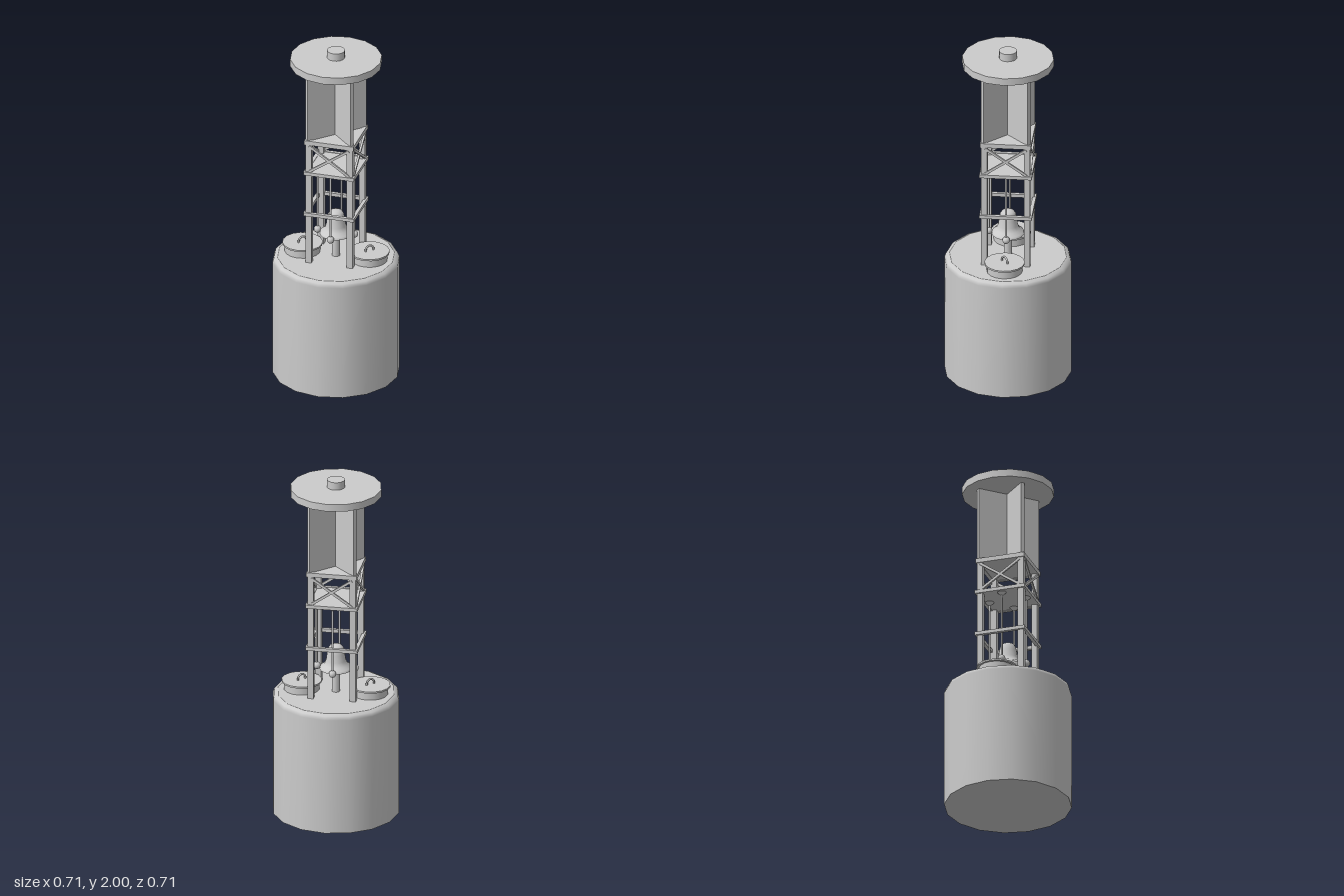
import * as THREE from 'three';

const grey = new THREE.MeshStandardMaterial({ color: 0xcccccc });
const flat = new THREE.MeshStandardMaterial({ color: 0xcccccc, flatShading: true });
const open = new THREE.MeshStandardMaterial({ color: 0xcccccc, side: THREE.DoubleSide });

export function createModel() {
  const model = new THREE.Group();
  model.name = 'bellBuoy';

  function add(name, geometry, x, y, z, parent = model, material = grey) {
    const mesh = new THREE.Mesh(geometry, material);
    mesh.name = name;
    mesh.position.set(x, y, z);
    parent.add(mesh);
    return mesh;
  }
  const box = (w, h, d) => new THREE.BoxGeometry(w, h, d);
  // Cylinder standing on the given height
  const drum = (name, r, y0, y1, sides, parent = model, x = 0, z = 0) =>
    add(name, new THREE.CylinderGeometry(r, r, y1 - y0, sides), x, (y0 + y1) / 2, z, parent);
  const lathe = (points, sides) =>
    new THREE.LatheGeometry(points.map(([r, y]) => new THREE.Vector2(r, y)), sides);

  // Float body with a rounded shoulder
  add('floatWall', lathe([[0.357, 0], [0.357, 0.685], [0.349, 0.706], [0.328, 0.715]], 16), 0, 0, 0);
  add('floatDeck', new THREE.CircleGeometry(0.328, 16), 0, 0.715, 0).rotation.x = -Math.PI / 2;
  add('floatBottom', new THREE.CircleGeometry(0.357, 16), 0, 0, 0).rotation.x = Math.PI / 2;

  // Two deck hatches with arched handles
  for (const side of [-1, 1]) {
    const hatch = new THREE.Group();
    hatch.name = side > 0 ? 'leftHatch' : 'rightHatch';
    hatch.position.x = side * 0.195;
    drum('hatchCoaming', 0.1, 0.71, 0.762, 16, hatch);
    drum('hatchLid', 0.113, 0.76, 0.77, 16, hatch);
    const arch = new THREE.CatmullRomCurve3(
      [[-0.025, 0.765], [-0.022, 0.788], [0, 0.802], [0.022, 0.788], [0.025, 0.765]]
        .map(([x, y]) => new THREE.Vector3(x, y, 0)));
    add('hatchHandle', new THREE.TubeGeometry(arch, 14, 0.006, 6), 0, 0, 0, hatch)
      .rotation.y = Math.PI / 4;
    model.add(hatch);
  }

  // Tower: one leg, its bars, cross brace and clapper per side
  for (let i = 0; i < 4; i++) {
    const side = new THREE.Group();
    side.name = 'towerSide' + (i + 1);
    side.rotation.y = i * Math.PI / 2;
    add('leg', box(0.034, 0.76, 0.034), 0.12, 1.09, 0.12, side);
    for (const y of [1.02, 1.276]) add('crossbar', box(0.294, 0.02, 0.02), 0, y, 0.137, side);
    add('topBar', box(0.286, 0.026, 0.02), 0, 1.468, 0.133, side);
    for (const s of [-1, 1]) {
      add('brace', box(0.28, 0.014, 0.012), 0, 1.368, 0.136, side)
        .rotation.z = s * Math.atan2(0.155, 0.225);
    }
    // Clapper hanging from the lower platform
    add('clapperHinge', new THREE.ConeGeometry(0.026, 0.024, 10), 0, 1.255, 0.108, side)
      .rotation.x = Math.PI;
    drum('clapperRod', 0.006, 0.865, 1.265, 8, side, 0, 0.108);
    add('clapperBall', new THREE.SphereGeometry(0.021, 12, 8), 0, 0.862, 0.108, side);
    model.add(side);
  }
  add('lowerPlatform', box(0.27, 0.014, 0.27), 0, 1.276, 0);
  add('upperPlatform', box(0.27, 0.02, 0.27), 0, 1.468, 0);

  // Bell on its post
  drum('bellPost', 0.023, 0.71, 0.96, 12);
  add('bell', lathe([
    [0.092, 0.852], [0.088, 0.866], [0.066, 0.88], [0.056, 0.905], [0.05, 0.945],
    [0.044, 0.975], [0.034, 0.99], [0.018, 0.997], [0, 0.998],
  ], 20), 0, 0, 0, model, open);

  // Crossed diagonal reflector plates
  for (const s of [-1, 1]) {
    add('reflectorPlate', box(0.374, 0.44, 0.022), 0, 1.695, 0, model, flat)
      .rotation.y = s * Math.PI / 4;
  }

  // Cap disc and lamp stub
  drum('capDisc', 0.257, 1.912, 1.955, 16);
  drum('lampStub', 0.05, 1.95, 2, 16);
  return model;
}
